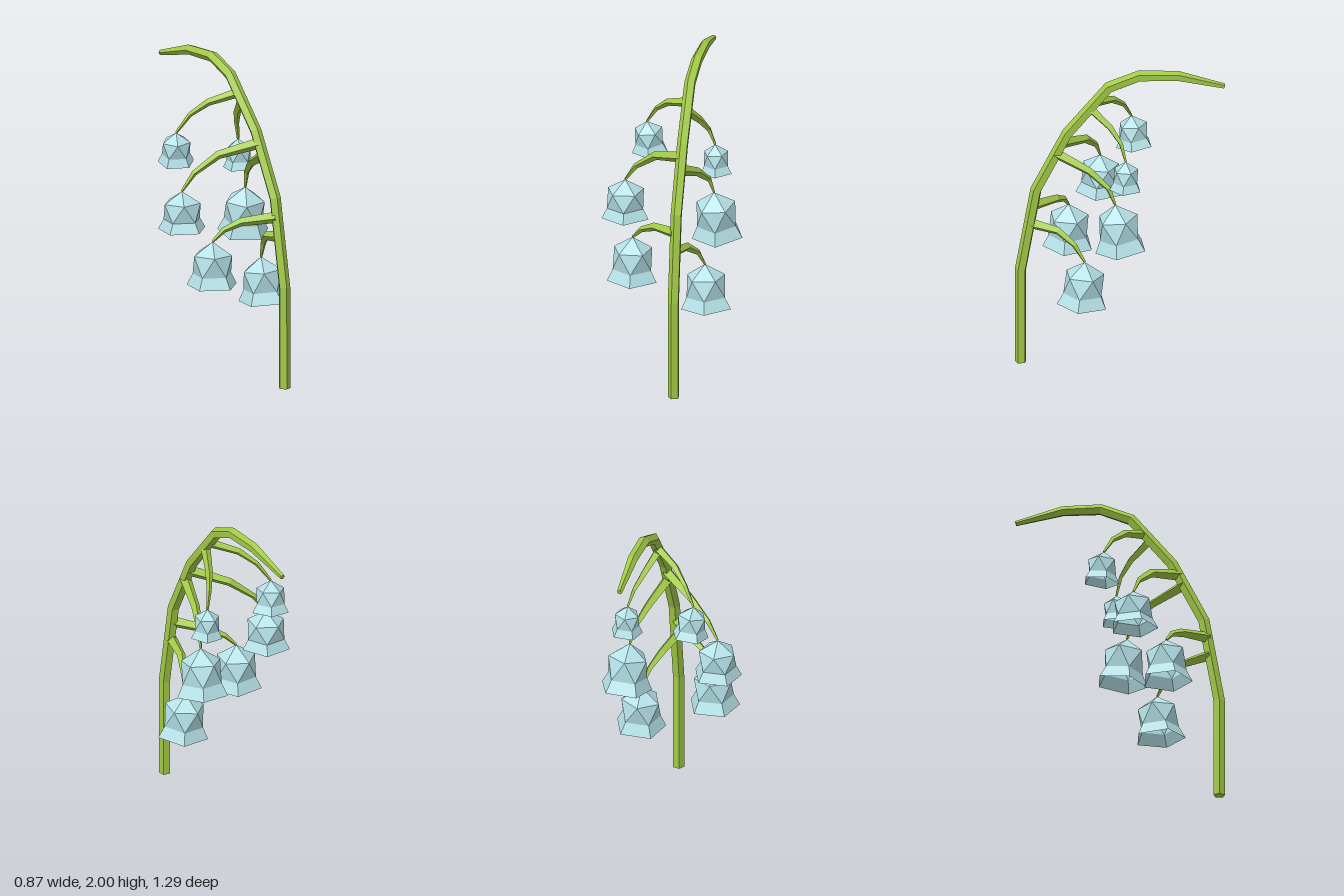
import * as THREE from 'three';

const green = new THREE.MeshStandardMaterial({ color: 0xa2ca47, flatShading: true });
const petal = new THREE.MeshStandardMaterial({ color: 0xb5e2e8, flatShading: true, side: THREE.DoubleSide });

// Faceted mesh from a flat list of triangle corners
function facetMesh(corners, material, name) {
  const geo = new THREE.BufferGeometry().setFromPoints(corners);
  geo.computeVertexNormals();
  const mesh = new THREE.Mesh(geo, material);
  mesh.name = name;
  return mesh;
}

// Tapered prism swept along points; one edge of its section points against "side"
function sweep(points, radii, sides, side, name) {
  const p = points.map((a) => new THREE.Vector3(...a));
  const last = p.length - 1;
  const rings = p.map((c, i) => {
    const t = p[Math.min(i + 1, last)].clone().sub(c).normalize();
    t.add(c.clone().sub(p[Math.max(i - 1, 0)]).normalize()).normalize();
    const s = side.clone().addScaledVector(t, -side.dot(t)).normalize();
    const n = t.clone().cross(s);
    return Array.from({ length: sides }, (_, k) => {
      const a = Math.PI + (k / sides) * Math.PI * 2;
      return c.clone().addScaledVector(s, Math.cos(a) * radii[i]).addScaledVector(n, Math.sin(a) * radii[i]);
    });
  });
  const tri = [];
  for (let k = 0; k < sides; k++) {
    const j = (k + 1) % sides;
    for (let i = 0; i < last; i++) {
      const [a, b, c, d] = [rings[i][k], rings[i][j], rings[i + 1][j], rings[i + 1][k]];
      tri.push(a, b, c, a, c, d);
    }
    tri.push(p[0], rings[0][j], rings[0][k], p[last], rings[last][k], rings[last][j]);
  }
  return facetMesh(tri, green, name);
}

// Five-sided bell hanging from its apex: cap, triangulated body and flared rim
function makeBell(size, height) {
  const ring = (r, y, turn) => Array.from({ length: 5 }, (_, k) => {
    const a = Math.PI / 2 + ((k + turn) / 5) * Math.PI * 2;
    return new THREE.Vector3(Math.cos(a) * r * size, -y * height, Math.sin(a) * r * size);
  });
  const apex = new THREE.Vector3();
  const upper = ring(0.76, 0.29, 0.5);
  const lower = ring(0.77, 0.74, 0);
  const rim = ring(1, 1, 0);
  const tri = [];
  for (let k = 0; k < 5; k++) {
    const j = (k + 1) % 5;
    tri.push(apex, upper[j], upper[k]);
    tri.push(lower[j], lower[k], upper[k], upper[k], upper[j], lower[j]);
    tri.push(lower[k], lower[j], rim[j], lower[k], rim[j], rim[k]);
  }
  return facetMesh(tri, petal, 'bell');
}

// Flowers: stalk path (stem to bell), bell rim radius, height and lean [x, z]
const flowers = [
  { path: [[0.06, 0.955, 0.56], [0.12, 0.92, 0.39], [0.18, 0.845, 0.295], [0.215, 0.74, 0.235]], size: 0.163, height: 0.28, lean: [0.05, 0.05] },
  { path: [[0.06, 1.075, 0.54], [-0.08, 1.04, 0.38], [-0.17, 0.99, 0.315], [-0.23, 0.92, 0.28]], size: 0.163, height: 0.28, lean: [0, 0] },
  { path: [[0.08, 1.44, 0.4], [0.165, 1.345, 0.2], [0.225, 1.25, 0.09], [0.25, 1.145, 0.05]], size: 0.166, height: 0.3, lean: [0.07, -0.13] },
  { path: [[0.085, 1.51, 0.36], [-0.1, 1.435, 0.19], [-0.23, 1.325, 0.11], [-0.3, 1.215, 0.075]], size: 0.154, height: 0.245, lean: [0.02, 0] },
  { path: [[0.095, 1.75, 0.19], [0.165, 1.64, 0.07], [0.215, 1.55, 0.01], [0.25, 1.44, -0.015]], size: 0.102, height: 0.185, lean: [0.05, 0] },
  { path: [[0.1, 1.79, 0.15], [-0.04, 1.73, 0.03], [-0.12, 1.65, -0.05], [-0.185, 1.535, -0.105]], size: 0.118, height: 0.2, lean: [0.1, -0.1] },
];

export function createModel() {
  const model = new THREE.Group();
  const up = new THREE.Vector3(0, 1, 0);

  // Arching main stem
  model.add(sweep(
    [[0.065, 0, 0.615], [0.065, 0.64, 0.615], [0.072, 1.19, 0.52], [0.088, 1.58, 0.325],
      [0.105, 1.89, 0.07], [0.127, 1.967, -0.115], [0.148, 1.963, -0.35], [0.168, 1.885, -0.64]],
    [0.037, 0.037, 0.037, 0.037, 0.037, 0.036, 0.033, 0.017], 5, new THREE.Vector3(1, 0, 0), 'stem'));

  // Drooping stalks, each ending in a bell
  for (const { path, size, height, lean } of flowers) {
    const flower = new THREE.Group();
    flower.name = 'flower';
    const start = new THREE.Vector3(...path[0]);
    const tip = new THREE.Vector3(...path[3]);
    const side = tip.clone().sub(start).cross(up).normalize();
    const k = size < 0.13 ? 0.85 : 1;
    flower.add(sweep(path, [0.036 * k, 0.027 * k, 0.018 * k, 0.008], 4, side, 'stalk'));
    const bell = makeBell(size, height);
    bell.position.copy(tip);
    bell.quaternion.setFromUnitVectors(new THREE.Vector3(0, -1, 0), new THREE.Vector3(lean[0], -1, lean[1]).normalize());
    flower.add(bell);
    model.add(flower);
  }
  return model;
}
